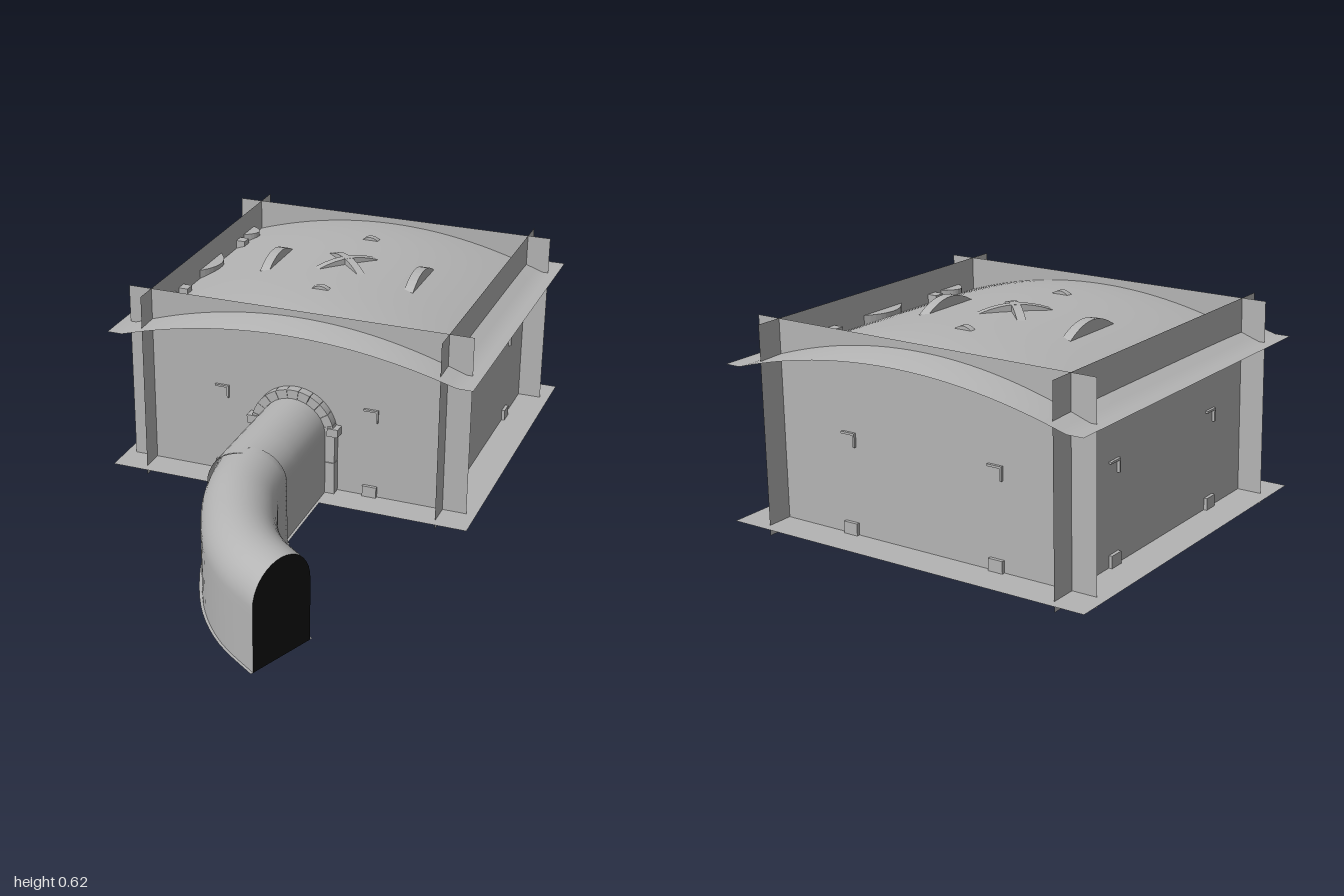
import * as THREE from 'three';

const stone = new THREE.MeshStandardMaterial({ color: 0xb4b4b4, side: THREE.DoubleSide });
stone.name = 'grey stone';
const dark = new THREE.MeshStandardMaterial({ color: 0x111111, side: THREE.DoubleSide });
dark.name = 'dark opening';

const MID_Z = -0.46, FLOOR_Y = 0.03;
const WALL_X = 0.475, FRONT_Z = -0.02, BACK_Z = -0.895;

export function createModel() {
  const model = new THREE.Group();
  model.name = 'vaultedChamber';

  const add = (name, geometry, x = 0, y = 0, z = 0, ry = 0, material = stone) => {
    const mesh = new THREE.Mesh(geometry, material);
    mesh.name = name;
    mesh.position.set(x, y, z);
    mesh.rotation.y = ry;
    model.add(mesh);
    return mesh;
  };

  // Smooth sheet: each point (u, v) in 0..1 is placed by a rule
  const sheet = (nu, nv, rule) => {
    const g = new THREE.PlaneGeometry(1, 1, nu, nv);
    const p = g.attributes.position;
    for (let i = 0; i < p.count; i++) p.setXYZ(i, ...rule(p.getX(i) + 0.5, p.getY(i) + 0.5));
    g.computeVertexNormals();
    return g;
  };

  // Low curved ridge: a circle segment of given length and height, extruded to a width
  const ridge = (length, height, width) => {
    const s = new THREE.Shape();
    s.moveTo(-length / 2, 0);
    s.quadraticCurveTo(0, height * 2, length / 2, 0);
    const g = new THREE.ExtrudeGeometry(s, { depth: width, bevelEnabled: false, curveSegments: 12 });
    return g.translate(0, 0, -width / 2);
  };

  // Floor and the four crossing wall panels
  add('floor', new THREE.PlaneGeometry(1.16, 1.08).rotateX(-Math.PI / 2), 0, FLOOR_Y, MID_Z);
  add('frontWall', new THREE.PlaneGeometry(1.1, 0.605), 0, 0.3025, FRONT_Z);
  add('backWall', new THREE.PlaneGeometry(1.1, 0.605), 0, 0.3025, BACK_Z, Math.PI);
  for (const s of [-1, 1]) {
    add(s > 0 ? 'leftWall' : 'rightWall', new THREE.PlaneGeometry(1.03, 0.605),
      s * WALL_X, 0.3025, MID_Z, s * Math.PI / 2);
  }

  // Vaulted roof, flat along its side eaves
  const roofY = (x, dz) => 0.485 + (0.08 + 0.034 * (1 - Math.abs(dz / 0.54) ** 4))
    * Math.max(0, 1 - (x / 0.53) ** 2);
  add('roof', sheet(48, 32, (u, v) => {
    const x = (u - 0.5) * 1.16, dz = (0.5 - v) * 1.08;
    return [x, roofY(x, dz), MID_Z + dz];
  }));

  // Roof ornament: cross, side ridges and end ridges
  for (const s of [-1, 1]) {
    add('roofCross', ridge(0.28, 0.038, 0.025), 0, 0.58, MID_Z, s * Math.PI / 4);
    add('roofSideRidge', ridge(0.25, 0.048, 0.03), s * 0.24, 0.56, MID_Z, Math.PI / 2);
    add('roofEndRidge', ridge(0.07, 0.018, 0.02), 0, 0.59, MID_Z + s * 0.23);
    // Half round studs and small blocks along the inside of the side walls
    for (const [dz, length] of [[-0.32, 0.09], [0, 0.17], [0.32, 0.09]]) {
      add('wallStud', ridge(length, 0.038, 0.05).rotateX(-Math.PI / 2),
        s * WALL_X, 0.51, MID_Z + dz, s * Math.PI / 2);
    }
    for (const dz of [-0.23, 0.23]) {
      add('wallBlock', new THREE.BoxGeometry(0.03, 0.05, 0.035), s * 0.46, 0.51, MID_Z + dz);
    }
  }

  // Base blocks and angled trims on the outside of each wall
  const wallTrim = (x, z, ry) => {
    const place = (name, w, h, d, ox, y) => add(name, new THREE.BoxGeometry(w, h, d).translate(ox, 0, 0), x, y, z, ry);
    place('baseBlock', 0.045, 0.035, 0.02, 0, 0.0475);
    place('trimBar', 0.045, 0.006, 0.016, 0, 0.32);
    place('trimPost', 0.006, 0.04, 0.016, 0.02, 0.303);
  };
  for (const s of [-1, 1]) {
    wallTrim(s * 0.243, FRONT_Z, 0);
    wallTrim(s * 0.243, BACK_Z, Math.PI);
    for (const z of [-0.2, -0.7]) wallTrim(s * WALL_X, z, s * Math.PI / 2);
  }

  // Tunnel centre line: x and z, with the turning angle stored in y
  const path = new THREE.CatmullRomCurve3([
    [0, 0, -0.02], [0, 0, 0.12], [0, 0, 0.25], [0.008, 8, 0.35], [0.03, 17, 0.47],
    [0.07, 28, 0.58], [0.13, 41, 0.70], [0.21, 54, 0.80], [0.32, 68, 0.885],
  ].map(p => new THREE.Vector3(...p)));
  const onPath = (t, side, y) => {
    const p = path.getPoint(t), a = THREE.MathUtils.degToRad(p.y);
    return [p.x + side * Math.cos(a), y, p.z - side * Math.sin(a)];
  };
  const R = 0.107, SPRING = 0.222;
  // Arch section: straight sides below a half circle
  const section = v => {
    if (v < 0.2) return [R, FLOOR_Y + (SPRING - FLOOR_Y) * v / 0.2];
    if (v > 0.8) return [-R, FLOOR_Y + (SPRING - FLOOR_Y) * (1 - v) / 0.2];
    const a = Math.PI * (v - 0.2) / 0.6;
    return [R * Math.cos(a), SPRING + R * Math.sin(a)];
  };
  add('tunnelVault', sheet(32, 30, (u, v) => onPath(u, ...section(v))));
  add('tunnelFloor', sheet(32, 1, (u, v) => onPath(u, (v - 0.5) * 0.23, FLOOR_Y)));

  // Dark end of the tunnel
  add('tunnelOpening', sheet(1, 30, (u, v) => {
    const [side, y] = section(v);
    return onPath(1, side * (2 * u - 1), y);
  }), 0, 0, 0, 0, dark);

  // Stone surround where the tunnel meets the wall
  const DEPTH = 0.03, COUNT = 11;
  for (let i = 0; i < COUNT; i++) {
    const a0 = Math.PI * i / COUNT, a1 = Math.PI * (i + 0.97) / COUNT;
    const s = new THREE.Shape();
    s.absarc(0, 0, 0.135, a0, a1, false);
    s.absarc(0, 0, 0.105, a1, a0, true);
    add('archStone', new THREE.ExtrudeGeometry(s, { depth: DEPTH, bevelEnabled: false, curveSegments: 3 }),
      0, SPRING, FRONT_Z);
  }
  for (const s of [-1, 1]) {
    for (const [y0, y1] of [[0.03, 0.134], [0.136, 0.225]]) {
      add('jambStone', new THREE.BoxGeometry(0.03, y1 - y0, DEPTH), s * 0.122, (y0 + y1) / 2, FRONT_Z + DEPTH / 2);
    }
    add('springStone', new THREE.BoxGeometry(0.035, 0.026, DEPTH + 0.008), s * 0.131, 0.238, FRONT_Z + DEPTH / 2);
  }
  return model;
}
